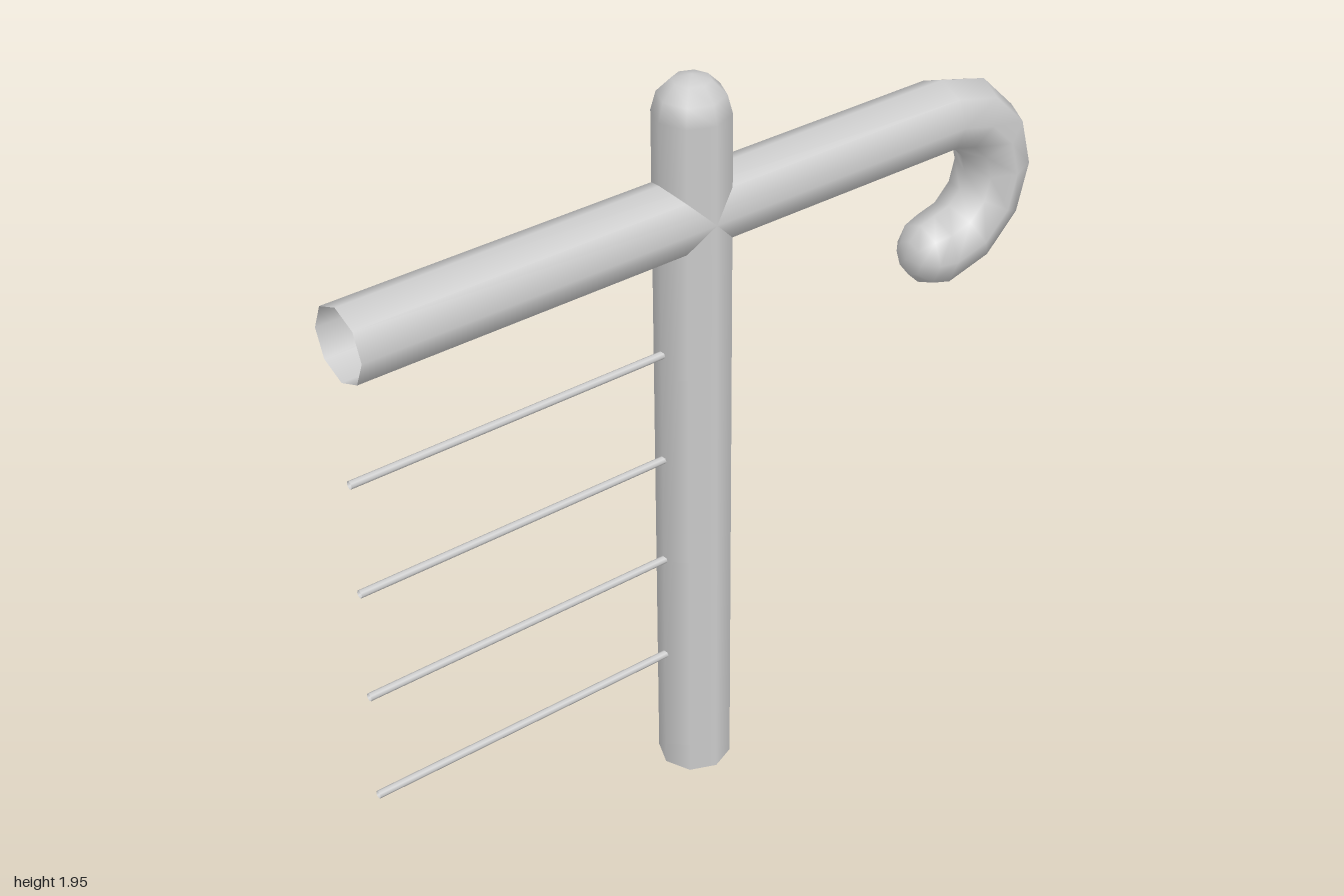
import * as THREE from 'three';

const R = 0.093;      // pipe radius
const SIDES = 8;
const POST_X = -0.055;
const BEAM_Y = 1.607;
const BEND = 0.187;   // hook bend radius
const HOOK_X = 0.71;

export function createModel() {
  const model = new THREE.Group();
  const grey = new THREE.MeshStandardMaterial({ color: 0xcccccc, side: THREE.DoubleSide });

  const add = (name, geometry, x, y, rotZ = 0) => {
    const mesh = new THREE.Mesh(geometry, grey);
    mesh.name = name;
    mesh.position.set(x, y, 0);
    mesh.rotation.z = rotZ;
    model.add(mesh);
  };
  const pipe = (radius, length) => new THREE.CylinderGeometry(radius, radius, length, SIDES, 1, true);
  const dome = () => new THREE.SphereGeometry(R, SIDES, 3, 0, Math.PI * 2, 0, Math.PI / 2);
  // Horizontal open pipe between two x positions
  const bar = (name, radius, x0, x1, y) => add(name, pipe(radius, x1 - x0), (x0 + x1) / 2, y, Math.PI / 2);

  // Upright post, open at the foot, with a rounded top
  const postTop = 1.857;
  add('post', pipe(R, postTop), POST_X, postTop / 2);
  add('postCap', dome(), POST_X, postTop);

  // Crossbeam, open at its right end
  bar('crossbeam', R, -0.995, HOOK_X, BEAM_Y);

  // Half-turn hook curling under the beam, with a rounded tip
  add('hook', new THREE.TorusGeometry(BEND, R, SIDES, 6, Math.PI), HOOK_X, BEAM_Y - BEND, -Math.PI / 2);
  add('hookTip', dome(), HOOK_X, BEAM_Y - 2 * BEND, Math.PI / 2);

  // Four thin rods running out from the post
  for (let i = 0; i < 4; i++) bar(`rod${i + 1}`, 0.01, -1, POST_X, 0.357 + i * 0.298);

  return model;
}
